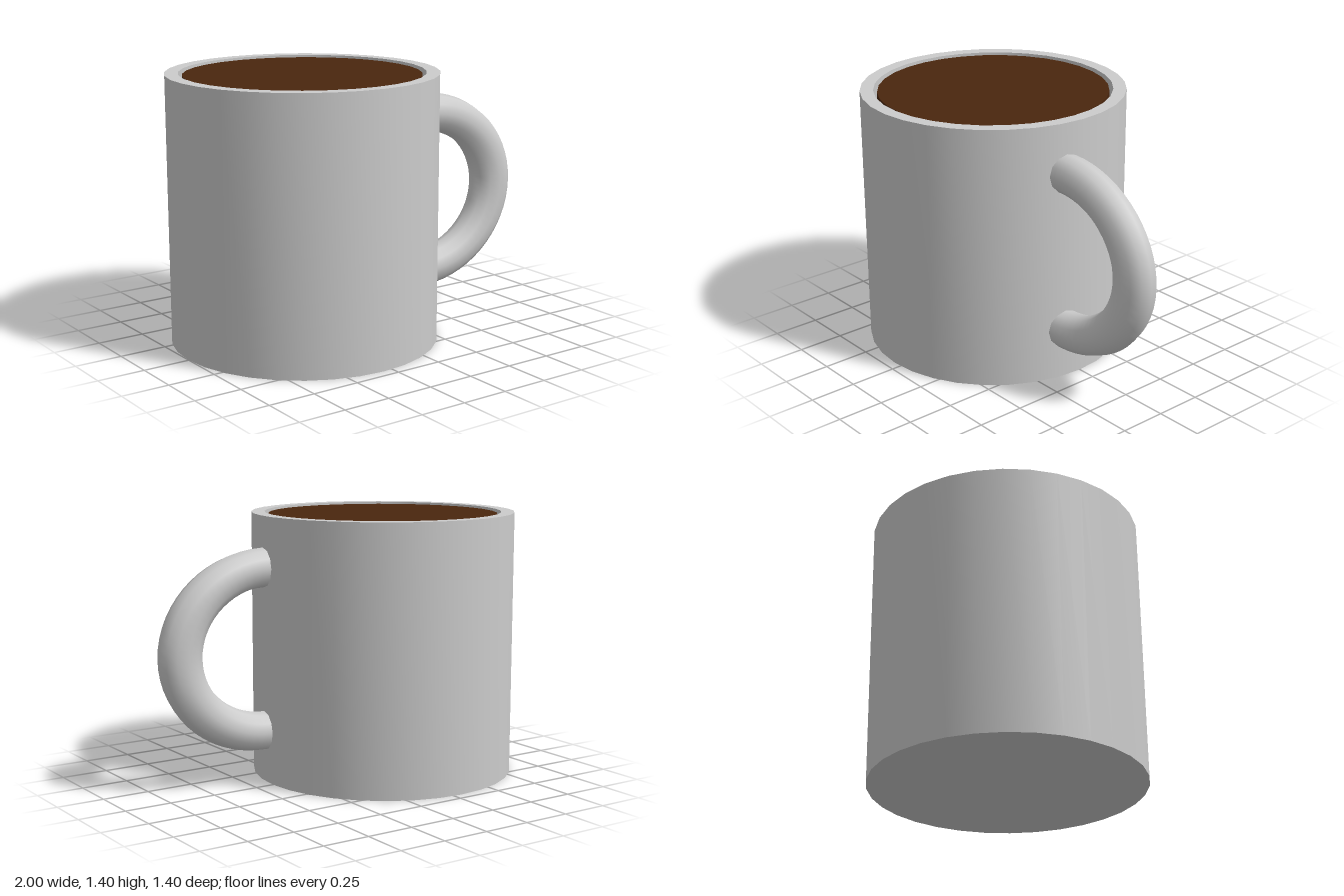
import * as THREE from 'three';
import { toCreasedNormals } from 'three/addons/utils/BufferGeometryUtils.js';

const SIDES = 32;
const MUG_X = -0.3;

export function createModel() {
  const group = new THREE.Group();
  const grey = new THREE.MeshStandardMaterial({ color: 0xcccccc });
  const brown = new THREE.MeshStandardMaterial({ color: 0x4a260e });

  function add(name, geometry, material, x, y, z) {
    const mesh = new THREE.Mesh(geometry, material);
    mesh.name = name;
    mesh.position.set(x, y, z);
    group.add(mesh);
    return mesh;
  }

  // Hollow body: base, outer wall, flat rim, inner wall, floor
  const profile = [[0, 0], [0.7, 0], [0.7, 1.4], [0.63, 1.4], [0.63, 0.14], [0, 0.14]]
    .map(([r, y]) => new THREE.Vector2(r, y));
  add('mugBody', toCreasedNormals(new THREE.LatheGeometry(profile, SIDES), 0.6), grey, MUG_X, 0, 0);

  // Drink, slightly narrower than the inside and just below the rim
  const drinkHeight = 1.25;
  add('drink', new THREE.CylinderGeometry(0.61, 0.61, drinkHeight, SIDES), brown,
    MUG_X, 0.14 + drinkHeight / 2, 0);

  // Handle: half ring stretched outward, its ends sunk into the wall
  const overlap = THREE.MathUtils.degToRad(5);
  const ring = new THREE.TorusGeometry(0.43, 0.103, 12, 32, Math.PI + 2 * overlap);
  ring.rotateZ(-Math.PI / 2 - overlap);
  ring.scale(1.14, 1, 0.94);
  add('handle', ring, grey, 0.392, 0.703, 0.096);

  return group;
}
